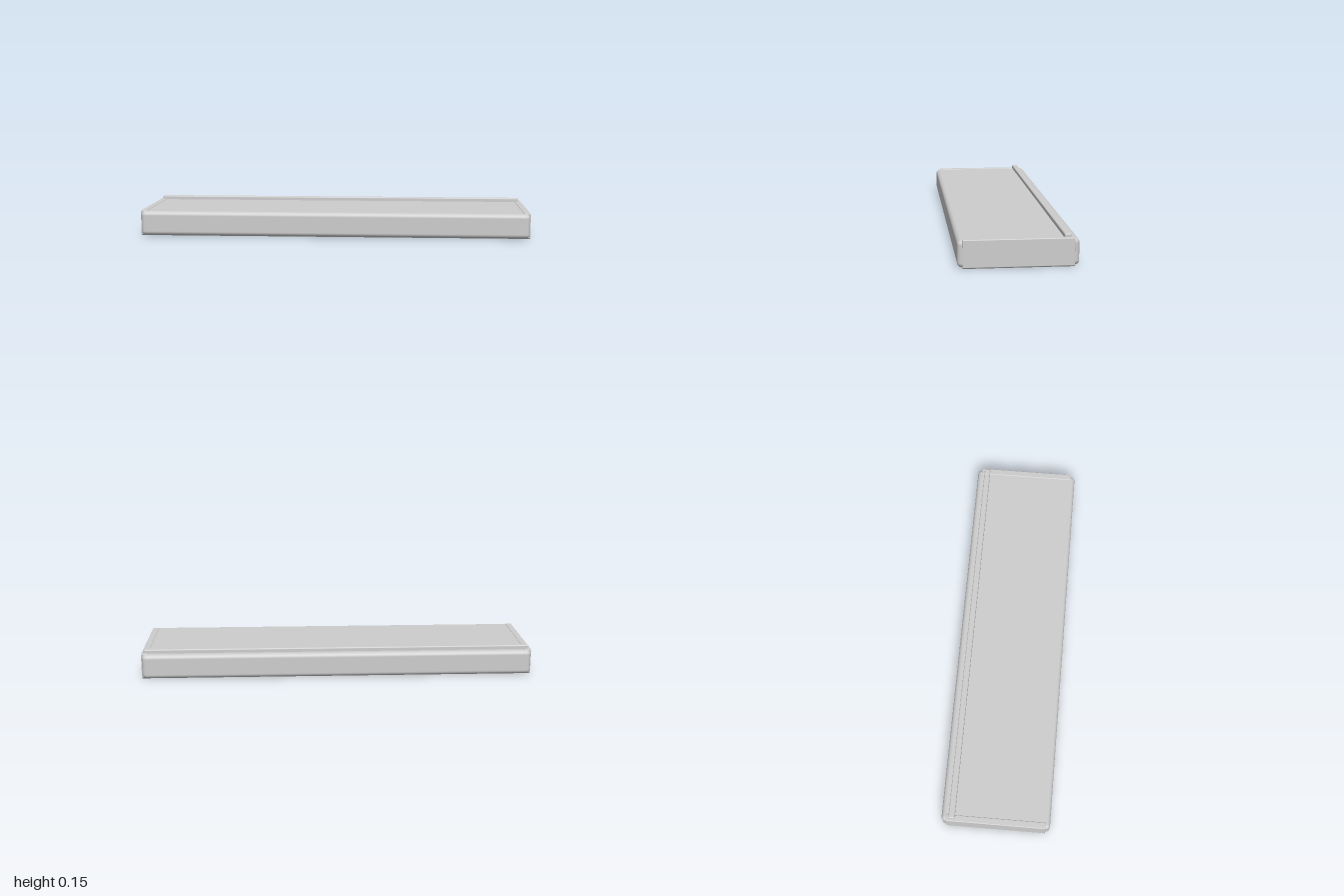
import * as THREE from 'three';
import { RoundedBoxGeometry } from 'three/addons/geometries/RoundedBoxGeometry.js';

const grey = new THREE.MeshStandardMaterial({ color: 0xcdcdcd });
grey.name = 'light grey';
const darkGrey = new THREE.MeshStandardMaterial({ color: 0x787878 });
darkGrey.name = 'dark grey';

// Block given by its min and max corners, rounded if it has a radius
function block(name, min, max, radius, material = grey) {
  const size = max.map((v, i) => v - min[i]);
  const geometry = radius > 0
    ? new RoundedBoxGeometry(...size, 5, radius)
    : new THREE.BoxGeometry(...size);
  const mesh = new THREE.Mesh(geometry, material);
  mesh.name = name;
  mesh.position.set(...min.map((v, i) => (v + max[i]) / 2));
  return mesh;
}

export function createModel() {
  const shelf = new THREE.Group();
  shelf.name = 'shelf';

  // Flat centre panel, flush with the rails
  shelf.add(block('panel', [-0.97, 0.003, -0.251], [0.97, 0.127, 0.251], 0));

  // Dark underside plate
  shelf.add(block('underside', [-0.999, 0, -0.25], [0.999, 0.004, 0.25], 0, darkGrey));

  // Rounded rails along the front and back edges
  shelf.add(block('frontRail', [-0.996, 0.002, 0.21], [0.996, 0.127, 0.273], 0.022));
  shelf.add(block('backRail', [-0.996, 0.002, -0.273], [0.996, 0.127, -0.21], 0.022));

  // End caps, slightly proud of the panel
  shelf.add(block('leftEndCap', [0.967, 0.002, -0.251], [1, 0.13, 0.251], 0.004));
  shelf.add(block('rightEndCap', [-1, 0.002, -0.251], [-0.967, 0.13, 0.251], 0.004));

  // Raised lip along the back
  shelf.add(block('backLip', [-0.988, 0.115, -0.236], [0.988, 0.147, -0.205], 0.006));

  return shelf;
}
